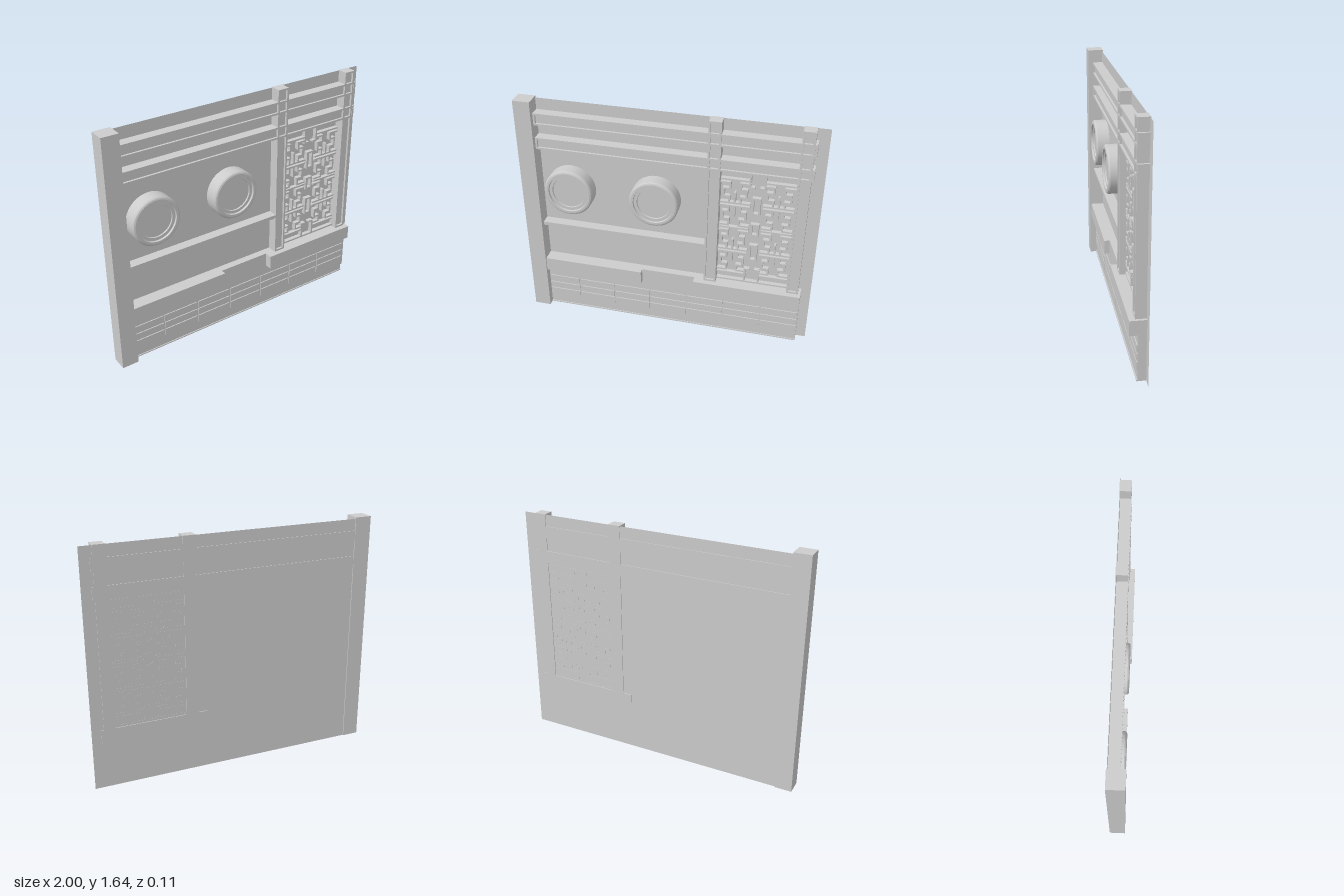
import * as THREE from 'three';

const material = new THREE.MeshStandardMaterial({ color: 0xcccccc, side: THREE.DoubleSide });
const WALL = -0.05; // z of the thin backing wall

function add(parent, name, geometry) {
  const mesh = new THREE.Mesh(geometry, material);
  mesh.name = name;
  parent.add(mesh);
  return mesh;
}

function group(parent, name) {
  const g = new THREE.Group();
  g.name = name;
  parent.add(g);
  return g;
}

// Box given by its limits on each axis
function block(parent, name, x0, x1, y0, y1, z0, z1) {
  const mesh = add(parent, name, new THREE.BoxGeometry(x1 - x0, y1 - y0, z1 - z0));
  mesh.position.set((x0 + x1) / 2, (y0 + y1) / 2, (z0 + z1) / 2);
  return mesh;
}

// Timber with a shallow recess in its front, framed by a narrow lip
function timber(parent, name, x0, x1, y0, y1) {
  const g = group(parent, name);
  const lip = 0.013, back = -0.055, mid = 0.005, front = 0.02;
  block(g, 'core', x0, x1, y0, y1, back, mid);
  block(g, 'lipLeft', x1 - lip, x1, y0, y1, mid, front);
  block(g, 'lipRight', x0, x0 + lip, y0, y1, mid, front);
  block(g, 'lipTop', x0, x1, y1 - lip, y1, mid, front);
  block(g, 'lipBottom', x0, x1, y0, y0 + lip, mid, front);
}

// Round window with stepped rings
function roundWindow(parent, x, y) {
  const profile = [[0, 0.075], [0.112, 0.075], [0.114, 0.084], [0.135, 0.084],
    [0.137, 0.098], [0.152, 0.098], [0.162, 0.094], [0.168, 0.085], [0.168, 0]];
  // Duplicated points keep the ring edges sharp
  const points = profile.flatMap(([r, h]) => [new THREE.Vector2(r, h), new THREE.Vector2(r, h)]);
  points.reverse();
  const mesh = add(parent, 'roundWindow', new THREE.LatheGeometry(points, 48));
  mesh.rotation.x = Math.PI / 2;
  mesh.position.set(x, y, WALL);
}

// Lattice strip between two points along x or y
function strip(parent, x0, x1, y0, y1) {
  const w = 0.006;
  block(parent, 'latticeStrip', Math.min(x0, x1) - w, Math.max(x0, x1) + w,
    Math.min(y0, y1) - w, Math.max(y0, y1) + w, WALL - 0.001, -0.02);
}

// One fretwork motif, mirrored into four quadrants
const QUADRANT = [
  [0, 0.095, 0.012, 0.012], [0.038, 0.038, 0.012, 0.058], [0.038, 0.075, 0.058, 0.058],
  [0.075, 0.075, 0.058, 0.115], [0.035, 0.075, 0.115, 0.115], [0.035, 0.035, 0.115, 0.16],
  [0.035, 0.095, 0.16, 0.16], [0, 0, 0.012, 0.085],
];
function fretwork(parent, cx, cy) {
  const g = group(parent, 'fretwork');
  for (const sx of [-1, 1]) for (const sy of [-1, 1])
    for (const [x0, x1, y0, y1] of QUADRANT)
      strip(g, cx + sx * x0, cx + sx * x1, cy + sy * y0, cy + sy * y1);
}

// Rectangular lattice loop
function loop(parent, x0, x1, y0, y1) {
  strip(parent, x0, x1, y0, y0);
  strip(parent, x0, x1, y1, y1);
  strip(parent, x0, x0, y0, y1);
  strip(parent, x1, x1, y0, y1);
}

export function createModel() {
  const model = new THREE.Group();
  model.name = 'wallFacade';

  // Backing wall and tall end pillar
  const wall = add(model, 'backWall', new THREE.PlaneGeometry(2, 1.635));
  wall.position.set(0, 1.635 / 2, WALL);
  block(model, 'endPillar', -1, -0.885, 0, 1.645, -0.057, 0.053);

  // Posts and horizontal beams
  timber(model, 'post', 0.267, 0.35, 0.42, 1.637);
  timber(model, 'post', 0.838, 0.918, 0.42, 1.637);
  timber(model, 'upperBeam', -0.885, 0.934, 1.47, 1.555);
  timber(model, 'lowerBeam', -0.885, 0.934, 1.297, 1.38);

  // Base with its two ledges
  block(model, 'base', -0.885, 0.934, 0, 0.42, WALL, 0.003);
  block(model, 'baseFoot', -0.885, 0.934, 0, 0.008, WALL, 0.01);
  block(model, 'rightLedge', -0.885, -0.178, 0.32, 0.42, WALL, 0.042);
  block(model, 'leftLedge', 0.2, 0.936, 0.32, 0.42, -0.055, 0.057);

  // Raised bricks on the base
  const bricks = group(model, 'bricks');
  const xs = [-0.885, -0.65, -0.385, -0.12, 0.145, 0.41, 0.675, 0.934];
  const ys = [0.072, 0.137, 0.193, 0.253];
  for (let i = 0; i < 7; i++)
    for (let j = 0; j < 3; j++)
      block(bricks, 'brick', xs[i] + 0.005, xs[i + 1] - 0.005,
        ys[j] + 0.005, ys[j + 1] - 0.005, 0, 0.01);

  // Sill rail under the round windows
  block(model, 'sillRail', -0.885, 0.267, 0.7, 0.722, WALL, 0.02);
  block(model, 'sillRailFoot', -0.885, 0.267, 0.688, 0.7, WALL, 0.008);
  roundWindow(model, -0.675, 0.997);
  roundWindow(model, -0.083, 0.997);

  // Lattice screen between the posts
  const lattice = group(model, 'latticeScreen');
  for (const cx of [0.447, 0.732]) {
    for (const cy of [1.04, 0.675]) fretwork(lattice, cx, cy);
    for (const y of [1.225, 0.86, 0.49]) strip(lattice, cx - 0.095, cx + 0.095, y, y);
  }
  strip(lattice, 0.35, 0.838, 1.28, 1.28);
  strip(lattice, 0.35, 0.838, 0.432, 0.432);

  // Small loops and open brackets down the middle
  for (const [y, h] of [[1.042, 0.058], [0.86, 0.04], [0.677, 0.058]])
    loop(lattice, 0.567, 0.611, y - h, y + h);
  for (const [a, b] of [[1.28, 1.18], [0.432, 0.535]])
    for (const [outer, inner] of [[0.541, 0.567], [0.637, 0.611]]) {
      strip(lattice, outer, outer, a, b);
      strip(lattice, outer, inner, b, b);
    }
  return model;
}
